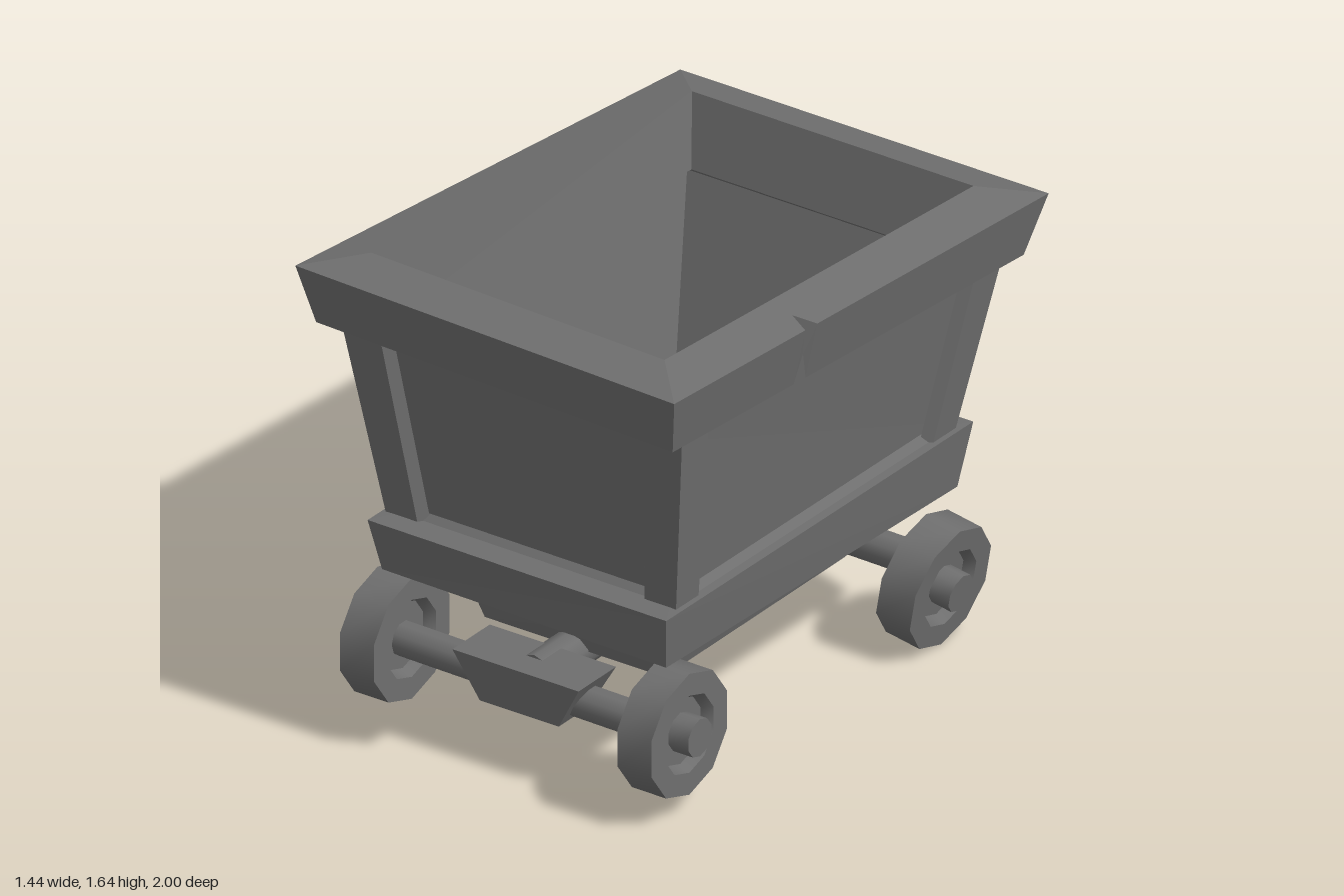
import * as THREE from 'three';
import { toCreasedNormals } from 'three/addons/utils/BufferGeometryUtils.js';

const GREY = 0x6e6e6e;
const flat = new THREE.MeshStandardMaterial({ color: GREY, flatShading: true, side: THREE.DoubleSide });
const smooth = new THREE.MeshStandardMaterial({ color: GREY });
const V = (x, y, z) => new THREE.Vector3(x, y, z);

// Four-cornered cross-section; k leans it along the cart's crooked slope
// (the sideways lean is at the front only), backLeft pinches in one rear corner.
function ring(y, k, x0, x1, z0, z1, backLeft = x0) {
  return [[x1, z1], [x1, z0], [backLeft, z0], [x0, z1]]
    .map(([x, z]) => V(x, y + k * (0.065 * z - 0.028 * (z > 0 ? x : Math.abs(x))), z));
}

const inset = (r, d, dy = 0) => r.map((p) => V(p.x - Math.sign(p.x) * d, p.y + dy, p.z - Math.sign(p.z) * d));

// Skin between successive rings, splitting each quad on its shorter diagonal
function loft(name, rings, { start = false, end = false } = {}) {
  const pts = [];
  const n = rings[0].length;
  for (let k = 0; k + 1 < rings.length; k++) {
    for (let i = 0; i < n; i++) {
      const j = (i + 1) % n;
      const a = rings[k][i], b = rings[k][j], c = rings[k + 1][j], d = rings[k + 1][i];
      if (a.distanceTo(c) <= b.distanceTo(d)) pts.push(a, b, c, a, c, d);
      else pts.push(a, b, d, b, c, d);
    }
  }
  const first = rings[0], last = rings[rings.length - 1];
  for (let i = 1; i + 1 < n; i++) {
    if (start) pts.push(first[0], first[i + 1], first[i]);
    if (end) pts.push(last[0], last[i], last[i + 1]);
  }
  const geometry = new THREE.BufferGeometry().setFromPoints(pts);
  geometry.computeVertexNormals();
  const mesh = new THREE.Mesh(geometry, flat);
  mesh.name = name;
  return mesh;
}

// Round bar between two points
function bar(name, a, b, radius) {
  const dir = b.clone().sub(a);
  const mesh = new THREE.Mesh(new THREE.CylinderGeometry(radius, radius, dir.length(), 10), smooth);
  mesh.position.copy(a).add(b).multiplyScalar(0.5);
  mesh.quaternion.setFromUnitVectors(V(0, 1, 0), dir.normalize());
  mesh.name = name;
  return mesh;
}

// Ten-sided wheel with dished faces and a protruding hub
const wheelProfile = [
  [0, -0.03], [0.115, -0.03], [0.135, -0.065], [0.212, -0.065], [0.212, 0.065], [0.135, 0.065],
  [0.115, 0.03], [0.065, 0.03], [0.065, 0.105], [0, 0.105],
].map(([r, h]) => new THREE.Vector2(r, h));
const wheelGeometry = toCreasedNormals(new THREE.LatheGeometry(wheelProfile, 10, Math.PI / 2), 0.7);

function wheel(name, x, y, z, lean = 0) {
  const mesh = new THREE.Mesh(wheelGeometry, smooth);
  mesh.position.set(x, y, z);
  mesh.rotation.z = -Math.sign(x) * Math.PI / 2 + lean;
  mesh.name = name;
  return mesh;
}

// Thick flared rim with a V-shaped nick in its left edge
function rim() {
  const nick = [0.3, 0.265, 0.235];
  const split = (r) => [
    r[0],
    ...nick.map((z) => r[0].clone().lerp(r[1], (r[0].z - z) / (r[0].z - r[1].z))),
    ...r.slice(1),
  ];
  const innerTop = split(ring(1.568, 1, -0.56, 0.555, -0.83, 0.82, -0.515));
  const outerTop = split(ring(1.535, 1, -0.72, 0.72, -1, 1, -0.68));
  const nickDepth = outerTop.map((p, i) => p.clone().lerp(innerTop[i], 0.45));
  outerTop[2].set(0.69, 1.43, 0.27);
  const under = split(ring(1.32, 1, -0.6, 0.6, -0.78, 0.8));
  return loft('rim', [
    under,
    split(ring(1.33, 1, -0.68, 0.675, -0.93, 0.945, -0.65)),
    outerTop,
    nickDepth,
    innerTop,
    split(ring(1.33, 1, -0.515, 0.51, -0.765, 0.73, -0.47)),
    under,
  ]);
}

// L-shaped corner post with bevelled inner edges
function post(name, bottom, top) {
  const section = (p, w, d = 0.035, b = 0.025) => {
    const sx = Math.sign(p.x), sz = Math.sign(p.z);
    const s = [[0, 0], [0, w], [d, w + b], [d, d], [w + b, d], [w, 0]]
      .map(([x, z]) => V(p.x - sx * x, p.y, p.z - sz * z));
    return sx * sz > 0 ? s : s.reverse();
  };
  return loft(name, [section(bottom, 0.12), section(top, 0.145)]);
}

export function createModel() {
  const cart = new THREE.Group();
  cart.name = 'mineCart';

  // Tub: recessed outer panels, corner posts, interior set back under the rim
  const foot = ring(0.7, 0.1, -0.53, 0.57, -0.71, 0.78);
  const head = ring(1.33, 1, -0.65, 0.65, -0.845, 0.86);
  cart.add(
    loft('tubPanels', [
      inset(foot, 0.008, 0.01), inset(foot, 0.035, 0.035),
      inset(head, 0.04, -0.03), inset(head, 0.01),
    ]),
    loft('tubInterior', [
      ring(1.335, 1, -0.54, 0.535, -0.785, 0.755, -0.5),
      ring(0.62, 0, -0.375, 0.42, -0.54, 0.62),
    ], { end: true }),
    rim(),
  );
  ['leftFrontPost', 'leftBackPost', 'rightBackPost', 'rightFrontPost']
    .forEach((name, i) => cart.add(post(name, foot[i], head[i])));

  // Base band and the chassis under it
  const chassisTop = ring(0.468, 0.5, -0.37, 0.41, -0.5, 0.6);
  cart.add(
    loft('baseBand', [
      chassisTop,
      ring(0.515, 0.4, -0.515, 0.565, -0.73, 0.825),
      ring(0.712, 0.12, -0.545, 0.59, -0.78, 0.86),
      ring(0.716, 0.12, -0.45, 0.5, -0.62, 0.69),
    ]),
    loft('chassis', [ring(0.315, 0, -0.32, 0.36, -0.42, 0.55), chassisTop], { start: true }),
  );

  // Running gear: spine, axles, axle blocks and wheels
  cart.add(bar('spine', V(0.01, 0.302, 0.75), V(0.01, 0.302, -0.61), 0.068));
  for (const [end, z, leftX, leftY, rightY, lean] of [
    ['front', 0.75, 0.535, 0.275, 0.285, 0], ['back', -0.61, 0.56, 0.215, 0.247, -0.17],
  ]) {
    cart.add(
      bar(end + 'Axle', V(-0.52, 0.276, z), V(0.54, 0.264, z), 0.058),
      loft(end + 'AxleBlock', [
        ring(0.2, 0, -0.14, 0.16, z - 0.08, z + 0.08),
        ring(0.36, 0, -0.23, 0.25, z - 0.1, z + 0.1),
      ], { start: true, end: true }),
      wheel(end + 'LeftWheel', leftX, leftY, z, lean),
      wheel(end + 'RightWheel', -0.52, rightY, z),
    );
  }
  return cart;
}
